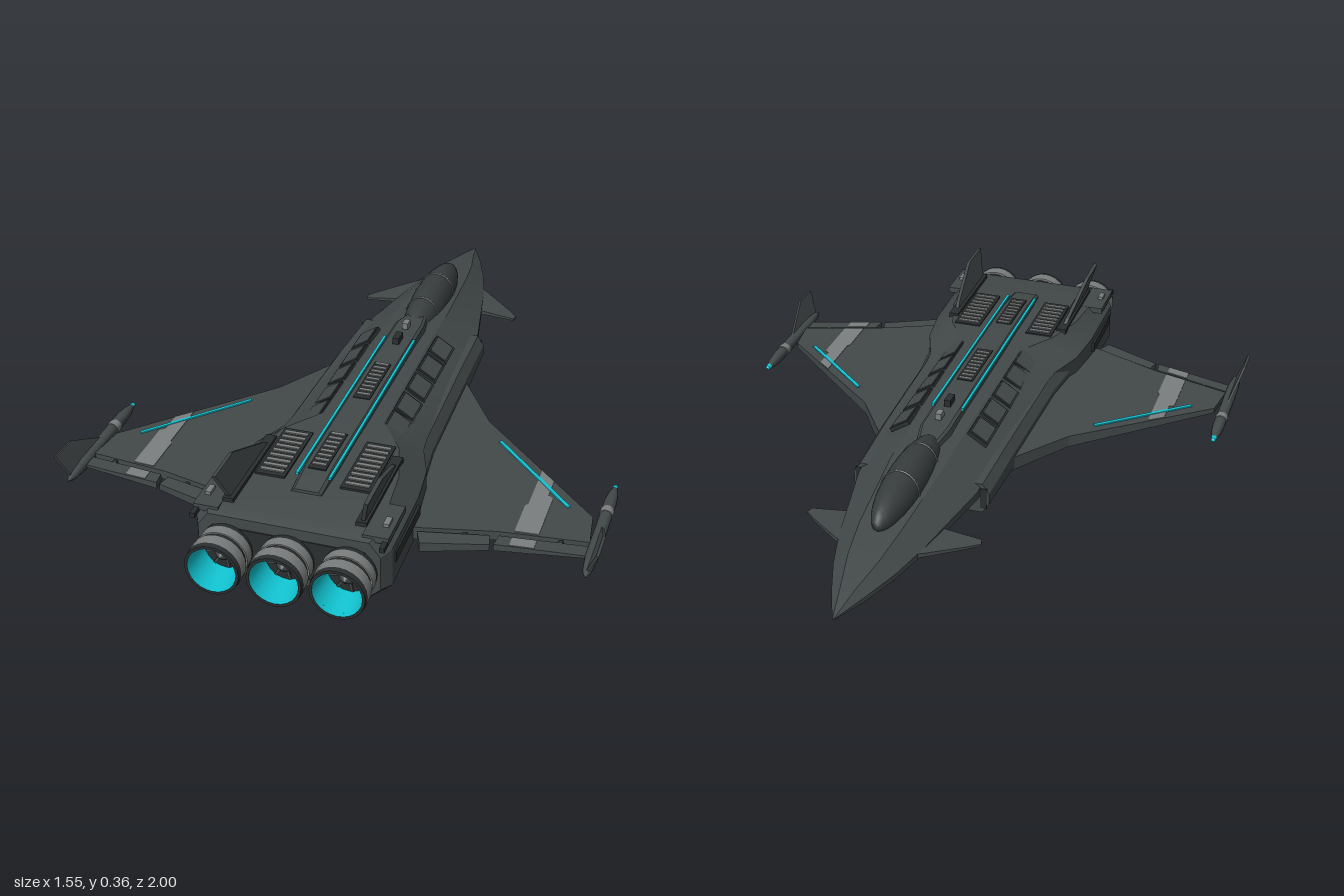
import * as THREE from 'three';
import { toCreasedNormals } from 'three/addons/utils/BufferGeometryUtils.js';

const paint = (name, color, side = THREE.FrontSide) => {
  const m = new THREE.MeshStandardMaterial({ color, side });
  m.name = name;
  return m;
};

export function createModel() {
  const model = new THREE.Group();
  model.name = 'jet';
  const hull = paint('hull grey', 0x434949);
  const dark = paint('dark grey', 0x2a2e2f);
  const glass = paint('canopy glass', 0x383d3e);
  const pale = paint('pale grey', 0x7c7f7f);
  const glow = paint('cyan glow', 0x10c4d2, THREE.DoubleSide);

  const add = (name, geometry, material, x = 0, y = 0, z = 0) => {
    const mesh = new THREE.Mesh(geometry, material);
    mesh.name = name;
    mesh.position.set(x, y, z);
    model.add(mesh);
    return mesh;
  };
  const box = (name, mat, w, h, d, x, y, z) => add(name, new THREE.BoxGeometry(w, h, d), mat, x, y, z);

  // Skin over equal-sized rings of [x, y, z], counterclockwise seen from +z
  const loft = (rings, crease = 0.45) => {
    const n = rings[0].length, index = [], last = (rings.length - 1) * n;
    for (let i = 0; i < rings.length - 1; i++) {
      for (let j = 0; j < n; j++) {
        const a = i * n + j, b = i * n + (j + 1) % n;
        index.push(a, b, b + n, a, b + n, a + n);
      }
    }
    for (let j = 1; j < n - 1; j++) index.push(0, j + 1, j, last, last + j, last + j + 1);
    const g = new THREE.BufferGeometry();
    g.setAttribute('position', new THREE.Float32BufferAttribute(rings.flat(2), 3));
    g.setIndex(index);
    return toCreasedNormals(g, crease);
  };

  // Flat plan outline [x, z] between two heights that depend on x
  const slab = (points, bottom, top) => {
    const shape = new THREE.Shape(points.map(([x, z]) => new THREE.Vector2(x, -z)));
    const g = new THREE.ExtrudeGeometry(shape, { depth: 1, bevelEnabled: false }).rotateX(-Math.PI / 2);
    const p = g.attributes.position;
    for (let i = 0; i < p.count; i++) {
      const x = Math.abs(p.getX(i));
      p.setY(i, THREE.MathUtils.lerp(bottom(x), top(x), p.getY(i)));
    }
    g.computeVertexNormals();
    return g;
  };

  // Upright fin from a side outline [z, y]
  const fin = (points, t) => new THREE.ExtrudeGeometry(
    new THREE.Shape(points.map(([z, y]) => new THREE.Vector2(z, y))), { depth: t, bevelEnabled: false })
    .translate(0, 0, -t / 2).rotateY(-Math.PI / 2);

  // Round part turned about the z axis from [radius, z] points
  const turned = (points, sides = 24) => toCreasedNormals(new THREE.LatheGeometry(
    points.map(([r, z]) => new THREE.Vector2(r, z)), sides).rotateX(Math.PI / 2), 0.6);

  // Fuselage: z, top half-width, top y, side half-width, upper and lower side y, bottom half-width, bottom y
  const stations = [
    [-1, .002, .157, .003, .156, .154, .002, .153],
    [-.9, .02, .18, .045, .162, .148, .022, .134],
    [-.78, .045, .201, .088, .165, .15, .042, .12],
    [-.66, .06, .218, .12, .17, .152, .06, .11],
    [-.36, .08, .245, .178, .18, .155, .09, .094],
    [-.1, .082, .259, .188, .19, .14, .12, .084],
    [.35, .09, .262, .205, .2, .125, .15, .078],
    [.47, .17, .265, .25, .205, .11, .19, .073],
    [.6, .21, .263, .266, .21, .1, .22, .067],
    [.85, .235, .26, .27, .215, .1, .228, .063],
    [.89, .22, .25, .25, .21, .108, .215, .075],
  ];
  add('fuselage', loft(stations.map(([z, tw, ty, mw, yu, yl, bw, by]) => [
    [mw, yl, z], [mw, yu, z], [tw, ty, z], [-tw, ty, z],
    [-mw, yu, z], [-mw, yl, z], [-bw, by, z], [bw, by, z]])), hull);
  box('rearPanel', dark, .42, .12, .006, 0, .158, .89);

  // Canopy and its frames
  const canopy = add('canopy', new THREE.SphereGeometry(1, 28, 18), glass, 0, .232, -.44);
  canopy.scale.set(.058, .071, .245);
  for (const z of [-.5, -.335]) {
    const k = Math.sqrt(1 - ((z + .44) / .245) ** 2);
    const frame = add('canopyFrame', new THREE.TorusGeometry(1, .035, 6, 24, Math.PI), pale, 0, .232, z);
    frame.scale.set(.059 * k, .072 * k, .1);
  }

  // Spine with glowing edges, vents and antennas
  add('spine', loft([[-.34, .02, .26], [-.2, .045, .279], [.1, .045, .284], [.62, .045, .284], [.745, .042, .27]]
    .map(([z, w, y]) => [[w + .006, .235, z], [w, y - .006, z], [w - .008, y, z],
      [-w + .008, y, z], [-w, y - .006, z], [-w - .006, .235, z]])), hull);
  for (const [start, count] of [[.085, 9], [.485, 8]]) {
    box('spineVent', dark, .05, .004, count * .023, 0, .285, start + count * .0105);
    for (let i = 0; i < count; i++) box('spineSlat', pale, .04, .005, .011, 0, .287, start + i * .022);
  }
  box('antenna', pale, .018, .02, .03, 0, .293, -.16);
  box('antenna', dark, .02, .02, .045, 0, .293, -.07);

  // Chin sensor
  const chin = add('chinSensor', new THREE.SphereGeometry(1, 16, 10), pale, 0, .122, -.8);
  chin.scale.set(.024, .019, .075);

  // Ventral fin
  add('ventralFin', fin([[.53, .075], [.73, 0], [.845, 0], [.81, .075]], .012), hull);

  // Engines: banded nozzle, glowing lining, turbine
  for (const x of [-.17, 0, .17]) {
    const bands = [[.86, .905, .068, .074, dark], [.905, .935, .074, .074, pale],
      [.935, .95, .07, .07, dark], [.95, .985, .077, .077, pale], [.985, 1, .077, .075, dark]];
    for (const [z0, z1, r0, r1, mat] of bands) {
      add('nozzleBand', turned([[.066, z0], [r0, z0], [r1, z1], [.067, z1]]), mat, x, .155);
    }
    add('nozzleLip', new THREE.RingGeometry(.068, .075, 24), dark, x, .155, 1);
    add('nozzleLining', turned([[.069, .9995], [.056, .905]]), glow, x, .155);
    add('turbineFace', new THREE.CircleGeometry(.058, 24), dark, x, .155, .906);
    add('turbineHub', turned([[.024, .906], [.02, .925], [0, .945]]), hull, x, .155);
    for (let i = 0; i < 8; i++) {
      const blade = add('turbineBlade', new THREE.BoxGeometry(.034, .007, .006).translate(.036, 0, 0), hull, x, .155, .909);
      blade.rotation.z = i * Math.PI / 4 + .2;
    }
  }

  const wingTop = x => .15 - .065 * (x - .27);
  const wingBottom = x => .11 - .012 * (x - .27);
  for (const s of [1, -1]) {
    const flip = pts => pts.map(([x, z]) => [s * x, z]);

    // Side intakes
    const intake = [[-.33, .13, .205, .098, .192], [-.1, .14, .212, .092, .2], [.3, .15, .222, .088, .2], [.55, .16, .25, .09, .2]]
      .map(([z, a, b, lo, hi]) => {
        const ring = [[a, lo], [b - .02, lo], [b, lo + .03], [b, hi - .03], [b - .02, hi], [a, hi]]
          .map(([x, y]) => [s * x, y, z]);
        return s > 0 ? ring : ring.reverse();
      });
    add('intake', loft(intake), hull);
    box('intakeMouth', dark, .02, .065, .004, s * .189, .145, -.33);

    // Wing and flaps
    add('wing', slab(flip([[.15, -.11], [.205, -.11], [.33, .08], [.71, .43], [.725, .545], [.48, .592],
      [.28, .655], [.15, .66]]), wingBottom, wingTop), hull);
    add('outerFlap', slab(flip([[.725, .558], [.49, .602], [.485, .645], [.725, .602]]),
      x => wingBottom(x) + .004, x => wingTop(x) - .004), hull);
    add('innerFlap', slab(flip([[.465, .608], [.28, .664], [.3, .71], [.475, .648]]),
      x => wingBottom(x) + .004, x => wingTop(x) - .006), hull);
    box('flapHinge', dark, .012, .014, .04, s * .65, .114, .56);
    box('flapHinge', dark, .012, .016, .04, s * .4, .125, .625);

    // Painted wing stripe on both faces, and glowing line on top
    const stripe = flip([[.532, .27], [.575, .308], [.575, .38], [.59, .39], [.59, .565], [.525, .575], [.525, .45], [.532, .44]]);
    const flapStripe = flip([[.525, .6], [.59, .588], [.59, .624], [.525, .635]]);
    for (const [pts, inset] of [[stripe, 0], [flapStripe, .004]]) {
      add('wingStripe', slab(pts, x => wingTop(x) - inset, x => wingTop(x) - inset + .002), pale);
      add('wingStripe', slab(pts, x => wingBottom(x) + inset - .002, x => wingBottom(x) + inset), pale);
    }
    add('wingLight', slab(flip([[.383, .176], [.39, .168], [.643, .41], [.636, .418]]),
      x => wingTop(x), x => wingTop(x) + .004), glow);

    // Wing-tip pod and winglet
    add('tipPod', turned([[.006, .262], [.014, .29], [.018, .33], [.018, .6], [.012, .66], [0, .69]], 16), hull, s * .74, .111);
    add('podTip', turned([[0, .248], [.007, .253], [.009, .268]], 12), glow, s * .74, .111);
    add('podBand', turned([[.0175, .375], [.0195, .375], [.0195, .4], [.0175, .4]], 16), pale, s * .74, .111);
    const winglet = add('winglet', fin([[.45, 0], [.6, .078], [.69, .078], [.665, 0]], .008), hull, s * .742, .115);
    winglet.rotation.z = -s * .36;

    // Canard
    add('canard', slab(flip([[.09, -.7], [.13, -.67], [.225, -.59], [.255, -.56], [.25, -.54], [.1, -.54]]),
      x => .158 - .07 * (x - .1), x => .172 - .12 * (x - .1)), hull);

    // Tail fin
    const tail = add('tailFin', fin([[.53, 0], [.58, .032], [.75, .105], [.87, .105], [.82, 0]], .011), hull, s * .18, .252);
    tail.rotation.z = -s * .25;
    box('tailRoot', dark, .03, .016, .32, s * .183, .264, .68);

    // Raised panels along the shoulder
    for (const z of [-.125, -.01, .105, .22, .325]) {
      const seat = box('panelSeam', dark, .068, .012, .098, s * .12, .239, z);
      const panel = box('shoulderPanel', hull, .056, .016, .086, s * .12, .24, z);
      seat.rotation.z = panel.rotation.z = -s * .57;
    }

    // Rear deck vents
    box('deckVent', dark, .084, .006, .23, s * .12, .266, .585);
    for (let i = 0; i < 9; i++) box('deckSlat', pale, .068, .005, .012, s * .12, .27, .49 + i * .0235);

    // Spine light, rear deck edge and side fittings
    box('spineLight', glow, .008, .008, .78, s * .046, .28, .3);
    box('deckEdge', hull, .07, .018, .15, s * .232, .253, .8);
    box('sideRail', dark, .014, .014, .15, s * .258, .245, .83);
    box('sideFitting', pale, .016, .01, .035, s * .245, .266, .81);
    box('sideDuct', dark, .012, .03, .22, s * .268, .175, .72);
  }
  return model;
}
